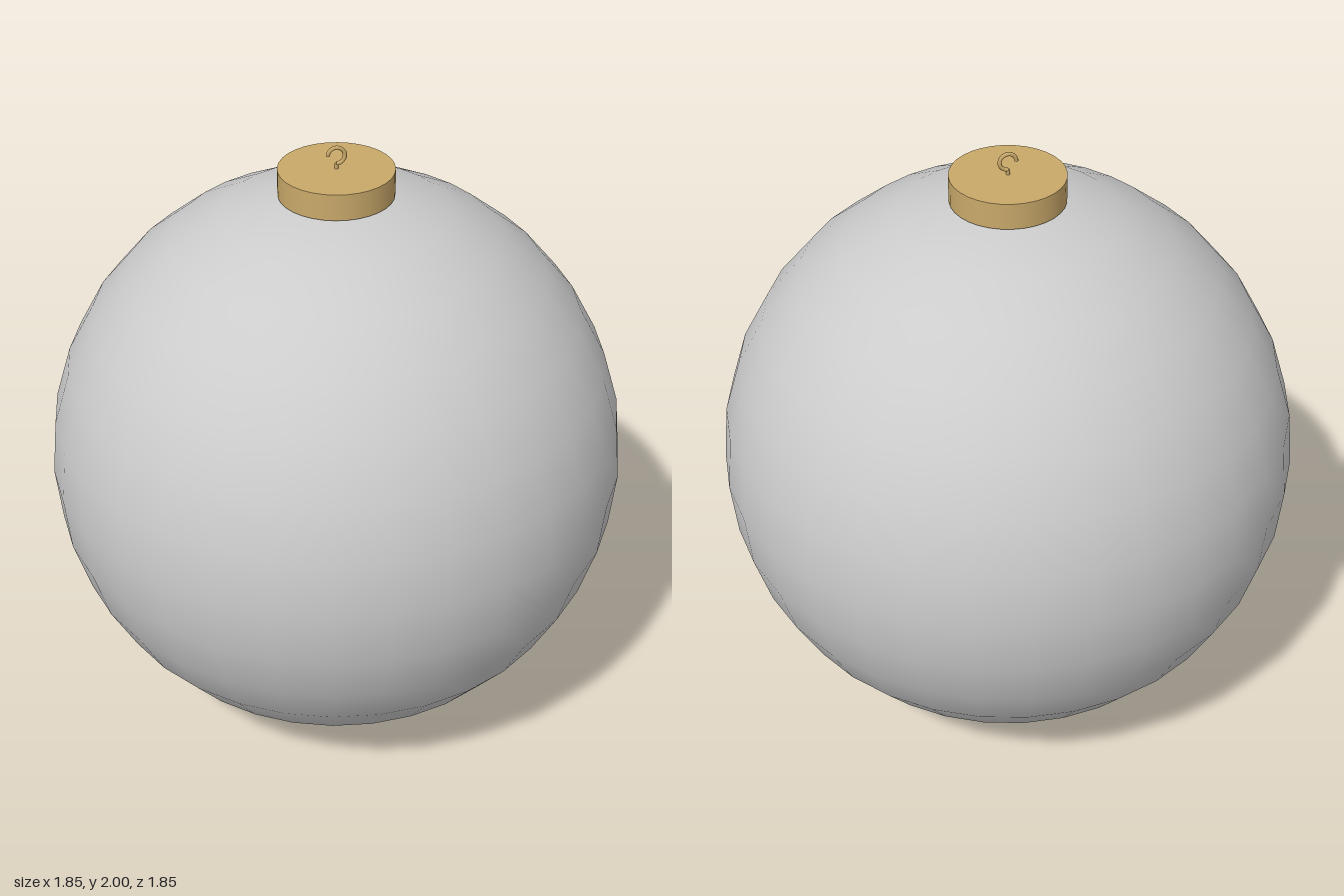
import * as THREE from 'three';

export function createModel() {
  const group = new THREE.Group();
  group.name = 'bauble';
  const grey = new THREE.MeshStandardMaterial({ color: 0xcccccc });
  const gold = new THREE.MeshStandardMaterial({ color: 0xc9a96a });

  const add = (name, geometry, material, y) => {
    const mesh = new THREE.Mesh(geometry, material);
    mesh.name = name;
    mesh.position.y = y;
    group.add(mesh);
    return mesh;
  };

  // Ball, standing on the ground
  const radius = 0.926;
  add('ball', new THREE.SphereGeometry(radius, 32, 16), grey, radius);

  // Flat metal cap on top of the ball
  const capBottom = 1.841, capTop = 1.926;
  add('cap', new THREE.CylinderGeometry(0.18, 0.18, capTop - capBottom, 32), gold, (capBottom + capTop) / 2);

  // Hook: three quarters of a ring, open at the lower left, on a short stem
  const ring = 0.026, wire = 0.0065;
  const ringY = 2 - ring - wire;
  const hook = add('hook', new THREE.TorusGeometry(ring, wire, 8, 24, Math.PI * 1.5), gold, ringY);
  hook.rotation.z = -Math.PI / 2;

  const stemTop = ringY - ring, stemBottom = capTop - 0.01;
  add('hookStem', new THREE.CylinderGeometry(wire, wire, stemTop - stemBottom, 8), gold, (stemTop + stemBottom) / 2);

  return group;
}
